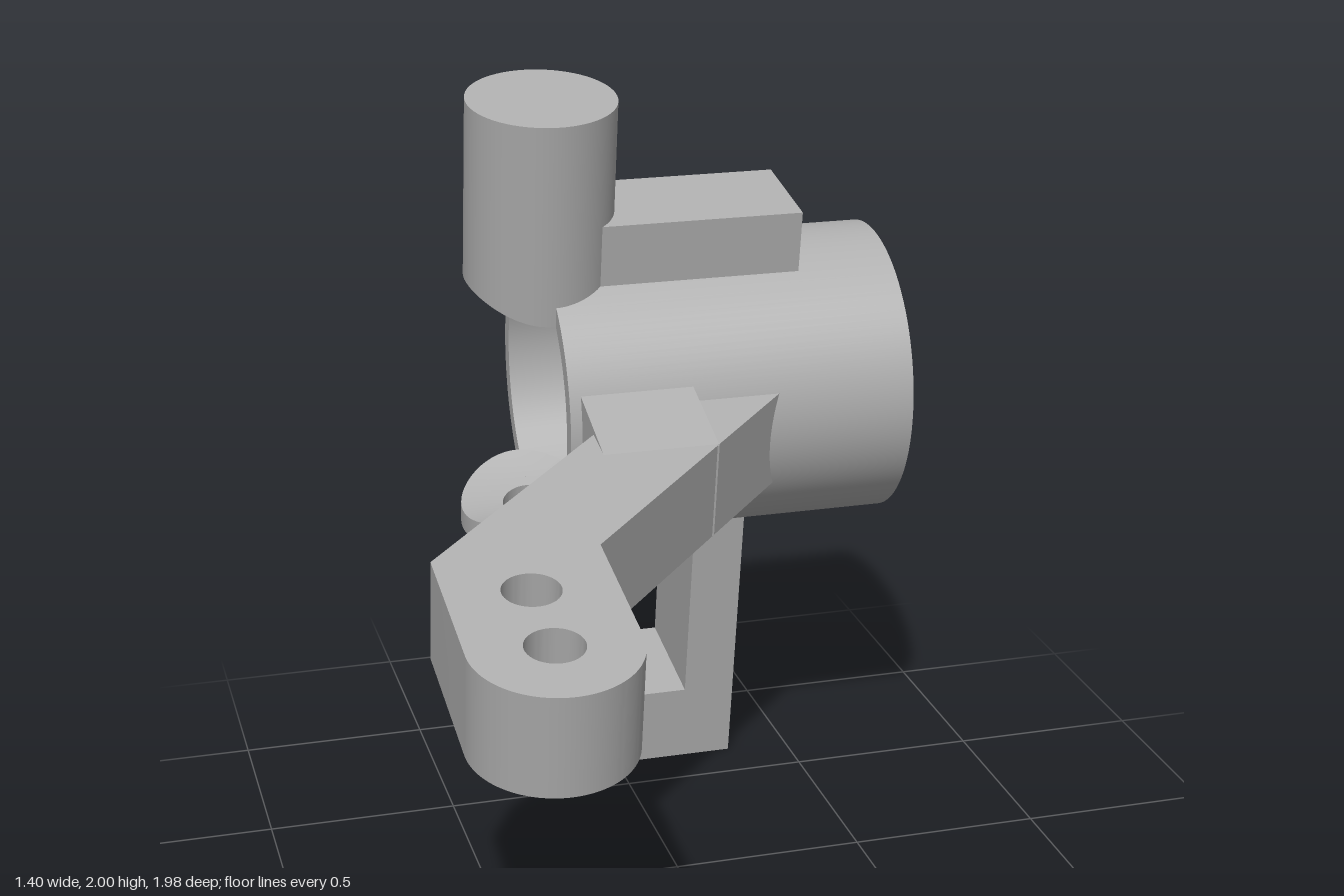
import * as THREE from 'three';
import { toCreasedNormals } from 'three/addons/utils/BufferGeometryUtils.js';

const BORE = 0.345; // wide bore at the right end of the hub
const PIN_X = -0.225; // line of the pin, lug and foot hole

export function createModel() {
  const steel = new THREE.MeshStandardMaterial({ color: 0xb0b0b0 });
  steel.name = 'steel grey';

  const knuckle = new THREE.Group();
  knuckle.name = 'knuckle';

  const add = (name, geometry) => {
    const mesh = new THREE.Mesh(toCreasedNormals(geometry, 0.6), steel);
    mesh.name = name;
    knuckle.add(mesh);
  };
  const lathe = (points, segments) =>
    new THREE.LatheGeometry(points.map(([r, y]) => new THREE.Vector2(r, y)), segments);
  const moveVertices = (geometry, rule) => {
    const p = geometry.attributes.position;
    const v = new THREE.Vector3();
    for (let i = 0; i < p.count; i++) {
      rule(v.fromBufferAttribute(p, i));
      p.setXYZ(i, v.x, v.y, v.z);
    }
    return geometry;
  };
  const box = (x0, x1, y0, y1, z0, z1) =>
    new THREE.BoxGeometry(x1 - x0, y1 - y0, z1 - z0)
      .translate((x0 + x1) / 2, (y0 + y1) / 2, (z0 + z1) / 2);
  // Flat plate from a plan outline in x and z
  const plate = (shape, y0, y1) =>
    new THREE.ExtrudeGeometry(shape, { depth: y1 - y0, bevelEnabled: false, curveSegments: 32 })
      .rotateX(Math.PI / 2).translate(0, y1, 0);
  const drill = (shape, x, z, r) =>
    shape.holes.push(new THREE.Path().absarc(x, z, r, 0, Math.PI * 2, true));
  // Turned part whose points at y = 0 are laid onto the bore surface
  const saddle = (points, side) =>
    moveVertices(lathe(points, 64), (v) => {
      if (Math.abs(v.y) < 1e-6) v.y = side * Math.sqrt(BORE * BORE - v.z * v.z);
    }).translate(PIN_X, 0, 0);

  // Hub barrel with stepped bore; its end is notched by the lug hole
  const lugHole = 0.08;
  const hub = lathe([
    [0.39, -0.22], [0.39, 0.7], [0.28, 0.7], [0.28, 0.42], [0.22, 0.42],
    [0.22, 0], [BORE, 0], [BORE, -0.22], [0.39, -0.22],
  ], 128).rotateZ(-Math.PI / 2);
  moveVertices(hub, (v) => {
    if (v.x < -0.2 && v.y < 0 && Math.abs(v.z) < lugHole) {
      v.x = Math.max(v.x, PIN_X + Math.sqrt(lugHole * lugHole - v.z * v.z));
    }
  });
  add('hubBarrel', hub);

  // Upper pin and lower lug
  add('upperPin', saddle([
    [0, 0], [0.05, 0], [0.1, 0], [0.15, 0], [0.193, 0], [0.193, 0.83], [0, 0.83],
  ], 1));
  add('lowerLug', saddle([
    [lugHole, 0], [lugHole, -0.398], [0.193, -0.398], [0.193, 0], [0.15, 0], [0.11, 0], [lugHole, 0],
  ], -1));

  // Block on top of the barrel
  add('topBlock', box(-0.1, 0.44, 0.355, 0.53, -0.14, 0.14));

  // Cranked front arm with two holes
  const arm = new THREE.Shape();
  arm.moveTo(0.34, 0.36);
  arm.lineTo(-0.3, 1.0);
  arm.lineTo(-0.3, 1.39);
  arm.absarc(-0.5, 1.39, 0.2, 0, Math.PI, false);
  arm.lineTo(-0.7, 1.0);
  arm.lineTo(-0.06, 0.36);
  arm.closePath();
  drill(arm, -0.5, 1.16, 0.07);
  drill(arm, -0.5, 1.39, 0.07);
  add('frontArm', plate(arm, -0.132, 0.132));

  // Flared gusset at the arm root
  add('armGusset', moveVertices(box(-0.19, 0.105, -0.167, 0.167, 0.35, 0.6), (v) => {
    if (v.z > 0.5) v.y = Math.sign(v.y) * 0.131;
  }));

  // Hanging bracket with a drilled foot
  add('bracketLeg', box(0.19, 0.33, -0.915, -0.3, -0.163, 0.163));
  const foot = new THREE.Shape();
  foot.moveTo(0.33, -0.163);
  foot.lineTo(0.33, 0.163);
  foot.lineTo(PIN_X, 0.163);
  foot.absarc(PIN_X, 0, 0.163, Math.PI / 2, Math.PI * 1.5, false);
  foot.closePath();
  drill(foot, PIN_X, 0, 0.07);
  add('bracketFoot', plate(foot, -1.135, -0.91));

  // Whole part leans about the barrel axis
  knuckle.rotation.x = THREE.MathUtils.degToRad(10);
  knuckle.position.set(0, 1.148, -0.6);

  const model = new THREE.Group();
  model.name = 'steeringKnuckle';
  model.add(knuckle);
  return model;
}
